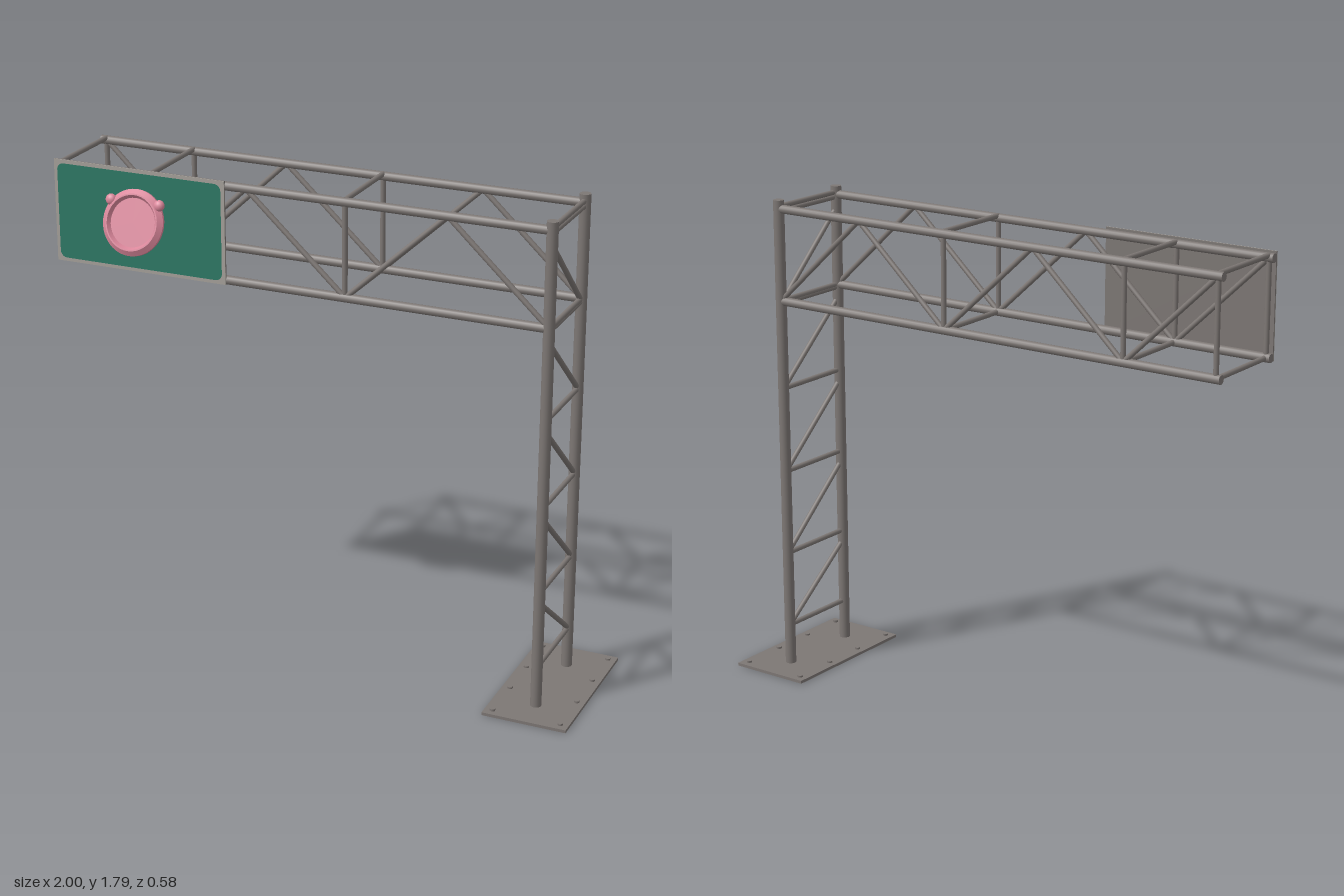
import * as THREE from 'three';

const mat = (name, color) => {
  const m = new THREE.MeshStandardMaterial({ color });
  m.name = name;
  return m;
};

export function createModel() {
  const steel = mat('steel grey', 0x7d7774);
  const trim = mat('light grey trim', 0xa6a29b);
  const green = mat('sign green', 0x2e7a66);
  const pink = mat('pink', 0xdb879b);

  const root = new THREE.Group();
  root.name = 'signGantry';
  const group = (name) => {
    const g = new THREE.Group();
    g.name = name;
    root.add(g);
    return g;
  };
  const add = (parent, name, geo, material, x = 0, y = 0, z = 0) => {
    const m = new THREE.Mesh(geo, material);
    m.name = name;
    m.position.set(x, y, z);
    parent.add(m);
    return m;
  };
  // Round bar between two points
  const up = new THREE.Vector3(0, 1, 0);
  const bar = (parent, name, a, b, r) => {
    const p = new THREE.Vector3(...a), q = new THREE.Vector3(...b);
    const d = q.clone().sub(p);
    const m = add(parent, name, new THREE.CylinderGeometry(r, r, d.length(), 16), steel);
    m.position.copy(p).add(q).multiplyScalar(0.5);
    m.quaternion.setFromUnitVectors(up, d.normalize());
    return m;
  };

  const PX = 0.845, Z = 0.163, TOP = 1.76, BOT = 1.42, THIN = 0.0095;

  // Base plate with two rows of bolts
  const base = group('base');
  add(base, 'basePlate', new THREE.BoxGeometry(0.31, 0.011, 0.58), steel, PX, 0.0055, 0);
  for (const x of [-0.125, 0.125])
    for (const z of [-0.26, -0.085, 0.085, 0.26])
      add(base, 'bolt', new THREE.CylinderGeometry(0.01, 0.01, 0.008, 6), steel, PX + x, 0.014, z);

  // Column: two posts, rungs and diagonals
  const column = group('column');
  for (const s of [-1, 1]) bar(column, 'post', [PX, 0.01, s * Z], [PX, 1.792, s * Z], 0.02);
  const rungs = [0.162, 0.45, 0.77, 1.09, 1.41, 1.75];
  rungs.forEach((y, i) => {
    bar(column, 'rung', [PX, y, -Z], [PX, y, Z], THIN);
    if (i) bar(column, 'columnDiagonal', [PX, y - 0.04, Z], [PX, rungs[i - 1], -Z], THIN);
  });

  // Arm: four chords, zigzag diagonals, uprights and cross bars
  const arm = group('arm');
  const nodes = [PX, 0.48, 0.11, -0.26, -0.625, -0.98];
  for (const s of [-1, 1]) {
    const z = s * Z;
    for (const y of [TOP, BOT]) bar(arm, 'chord', [-1, y, z], [PX, y, z], 0.016);
    for (let i = 0; i < 5; i++) {
      const [ya, yb] = i % 2 ? [TOP, BOT] : [BOT, TOP];
      bar(arm, 'armDiagonal', [nodes[i], ya, z], [nodes[i + 1], yb, z], THIN);
    }
    for (const x of [0.11, -0.625, -0.98]) bar(arm, 'upright', [x, BOT, z], [x, TOP, z], THIN);
  }
  for (const x of [PX, 0.11, -0.625, -0.98])
    for (const y of [TOP + 0.008, BOT]) bar(arm, 'crossBar', [x, y, -Z], [x, y, Z], THIN);

  // Sign panel with trim and a rounded green face
  const sign = group('sign');
  const SX = -0.667, SY = 1.594, W = 0.666, H = 0.374;
  add(sign, 'signBack', new THREE.BoxGeometry(W, H, 0.005), steel, SX, SY, 0.1765);
  add(sign, 'signTrim', new THREE.BoxGeometry(W, H, 0.003), trim, SX, SY, 0.1805);
  const w = W / 2 - 0.013, h = H / 2 - 0.013, r = 0.025;
  const face = new THREE.Shape();
  face.absarc(w - r, h - r, r, 0, Math.PI / 2);
  face.absarc(r - w, h - r, r, Math.PI / 2, Math.PI);
  face.absarc(r - w, r - h, r, Math.PI, Math.PI * 1.5);
  face.absarc(w - r, r - h, r, Math.PI * 1.5, Math.PI * 2);
  add(sign, 'signFace', new THREE.ShapeGeometry(face, 6), green, SX, SY, 0.1835);

  // Tilted round dish with a recessed centre and two small ears
  const dish = group('dish');
  dish.position.set(-0.66, 1.607, 0.238);
  dish.rotation.x = -0.32;
  const profile = [[0, -0.016], [0.105, -0.016], [0.117, -0.008], [0.117, 0.002], [0.1, 0.016],
    [0.095, 0.016], [0.086, 0.003], [0, 0.003]];
  // Doubled points keep the profile edges sharp
  const pts = profile.flatMap(([x, y]) => [new THREE.Vector2(x, y), new THREE.Vector2(x, y)]);
  for (let i = 0; i + 1 < profile.length; i++) {
    const m = add(dish, 'dishBody', new THREE.LatheGeometry([pts[2 * i], pts[2 * i + 2]], 40), pink);
    m.rotation.x = Math.PI / 2;
  }
  for (const s of [-1, 1]) {
    const ear = add(dish, 'ear', new THREE.SphereGeometry(0.02, 16, 12), pink, s * 0.094, 0.07, 0.004);
    ear.scale.z = 0.75;
  }
  return root;
}
